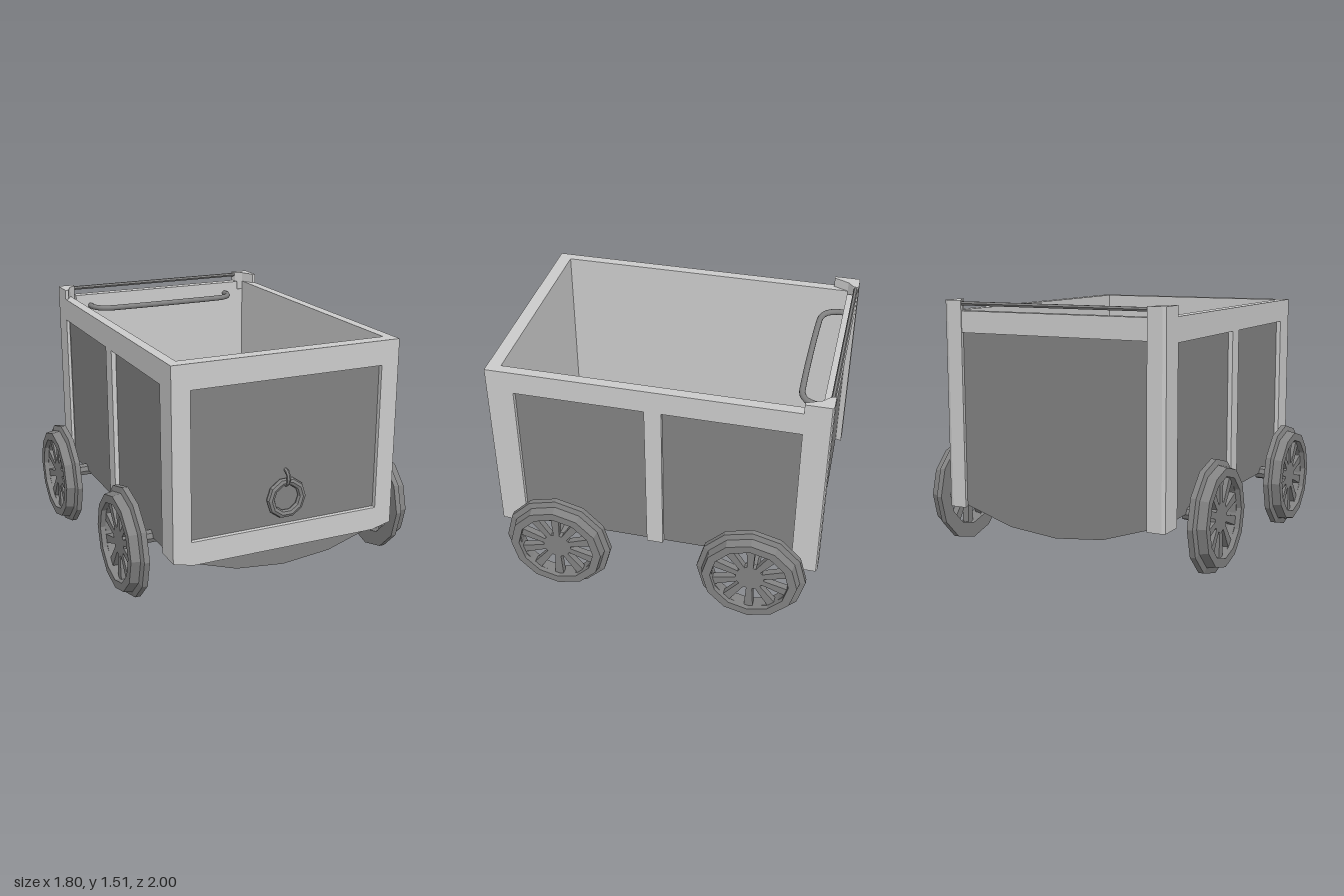
import * as THREE from 'three';

const light = new THREE.MeshStandardMaterial({ color: 0xcccccc, flatShading: true });
const dark = new THREE.MeshStandardMaterial({ color: 0x828282, flatShading: true });

function add(parent, name, geometry, material) {
  const mesh = new THREE.Mesh(geometry, material);
  mesh.name = name;
  parent.add(mesh);
  return mesh;
}

// Box given by its minimum and maximum on each axis
function block(parent, name, material, [x0, x1], [y0, y1], [z0, z1]) {
  const mesh = add(parent, name, new THREE.BoxGeometry(x1 - x0, y1 - y0, z1 - z0), material);
  mesh.position.set((x0 + x1) / 2, (y0 + y1) / 2, (z0 + z1) / 2);
  return mesh;
}

const outline = (points) => new THREE.Shape(points.map(([x, y]) => new THREE.Vector2(x, y)));
const extrude = (shape, depth) => new THREE.ExtrudeGeometry(shape, { depth, bevelEnabled: false });

// Flanged, spoked wheel with its axis on z and its outer side towards +z
function makeWheel() {
  const wheel = new THREE.Group();
  const profile = [
    [0.235, 0.805], [0.328, 0.805], [0.328, 0.838], [0.295, 0.848],
    [0.285, 0.9], [0.235, 0.9], [0.235, 0.805],
  ].map(([r, y]) => new THREE.Vector2(r, y));
  add(wheel, 'wheelRim', new THREE.LatheGeometry(profile, 12).rotateX(Math.PI / 2), dark);

  const polar = (r, a) => [r * Math.cos(a), r * Math.sin(a)];
  const disc = outline(Array.from({ length: 12 }, (_, i) => polar(0.26, (i * Math.PI) / 6)));
  for (let i = 0; i < 10; i++) {
    const a = (i + 0.5) * Math.PI / 5 - Math.PI / 2;
    disc.holes.push(outline([
      polar(0.085, a - 0.1), polar(0.232, a - 0.2), polar(0.232, a + 0.2), polar(0.085, a + 0.1),
    ]));
  }
  add(wheel, 'wheelSpokes', extrude(disc, 0.04).translate(0, 0, 0.83), dark);

  const axle = new THREE.CylinderGeometry(0.04, 0.04, 0.2, 8).rotateX(Math.PI / 2);
  add(wheel, 'axle', axle.translate(0, 0, 0.745), dark);
  return wheel;
}

export function createModel() {
  const cart = new THREE.Group();
  cart.name = 'cart';

  // Faceted belly closing the underside
  const belly = outline([
    [-0.67, 0.33], [-0.58, 0.3], [-0.3, 0.21], [0, 0.18], [0.3, 0.21], [0.58, 0.3], [0.67, 0.33],
  ]);
  add(cart, 'belly', extrude(belly, 1.91).translate(0, 0, -0.96), dark);
  block(cart, 'floor', light, [-0.65, 0.65], [0.33, 0.345], [-0.94, 0.92]);

  // Front frame with a chamfered lower edge and a recessed panel
  const front = outline([
    [-0.7, 0.33], [-0.58, 0.3], [0.58, 0.3], [0.7, 0.33], [0.7, 1.455], [-0.7, 1.455],
  ]);
  front.holes.push(outline([[-0.59, 0.44], [0.59, 0.44], [0.59, 1.31], [-0.59, 1.31]]));
  add(cart, 'frontFrame', extrude(front, 0.08).translate(0, 0, 0.9), light);
  block(cart, 'frontPanel', dark, [-0.6, 0.6], [0.43, 1.32], [0.915, 0.952]);
  block(cart, 'frontLining', light, [-0.64, 0.64], [0.33, 1.4], [0.9, 0.915]);

  // Back wall
  block(cart, 'backRail', light, [-0.6, 0.6], [1.33, 1.455], [-0.99, -0.93]);
  block(cart, 'backPanel', dark, [-0.66, 0.66], [0.33, 1.34], [-0.96, -0.945]);
  block(cart, 'backLining', light, [-0.64, 0.64], [0.33, 1.4], [-0.945, -0.93]);

  for (const s of [1, -1]) {
    const side = new THREE.Group();
    side.name = s > 0 ? 'leftSide' : 'rightSide';
    cart.add(side);
    const span = (a, b) => (s > 0 ? [a, b] : [-b, -a]);

    // Side rails, posts, panel and inner lining
    block(side, 'sideRail', light, span(0.64, 0.7), [1.315, 1.455], [-0.93, 0.9]);
    block(side, 'frontPost', light, span(0.655, 0.7), [0.33, 1.315], [0.82, 0.9]);
    block(side, 'middlePost', light, span(0.655, 0.7), [0.33, 1.315], [-0.05, 0.05]);
    block(side, 'sidePanel', dark, span(0.655, 0.672), [0.33, 1.32], [-0.94, 0.9]);
    block(side, 'sideLining', light, span(0.64, 0.655), [0.33, 1.32], [-0.94, 0.91]);

    // Angled back corner post, standing above the rim
    const post = outline([
      [0.7, 0.99], [0.7, 0.84], [0.68, 0.84], [0.64, 0.93], [0.6, 0.965], [0.59, 0.998], [0.68, 0.998],
    ].map(([x, y]) => [s * x, y]));
    add(side, 'backPost', extrude(post, 1.215).rotateX(-Math.PI / 2).translate(0, 0.3, 0), light);

    // Wheels with axle stubs
    for (const [name, z] of [['frontWheel', 0.572], ['backWheel', -0.62]]) {
      const wheel = makeWheel();
      wheel.name = name;
      wheel.rotation.y = s * Math.PI / 2;
      wheel.position.set(0, 0.328, z);
      side.add(wheel);
    }
  }

  // Thin rod between the back posts
  const rod = new THREE.CylinderGeometry(0.013, 0.013, 1.2, 6).rotateZ(Math.PI / 2);
  add(cart, 'backRod', rod.translate(0, 1.497, -0.98), dark);

  // Push handle inside the back wall
  const half = [[0.5, -0.94], [0.5, -0.89], [0.475, -0.83], [0.42, -0.797], [0.33, -0.79]];
  const path = [...half.map(([x, z]) => [-x, z]), ...half.slice().reverse()]
    .map(([x, z]) => new THREE.Vector3(x, 1.38, z));
  const handleCurve = new THREE.CatmullRomCurve3(path);
  const smooth = new THREE.MeshStandardMaterial({ color: 0x828282 });
  add(cart, 'handle', new THREE.TubeGeometry(handleCurve, 40, 0.018, 10), smooth);

  // Pull ring and its staple
  add(cart, 'pullRing', new THREE.TorusGeometry(0.1, 0.024, 8, 10), dark).position.set(0, 0.6, 0.965);
  const staple = add(cart, 'ringStaple', new THREE.TorusGeometry(0.046, 0.012, 6, 12), dark);
  staple.rotation.y = Math.PI / 2;
  staple.position.set(0, 0.72, 0.947);

  return cart;
}
